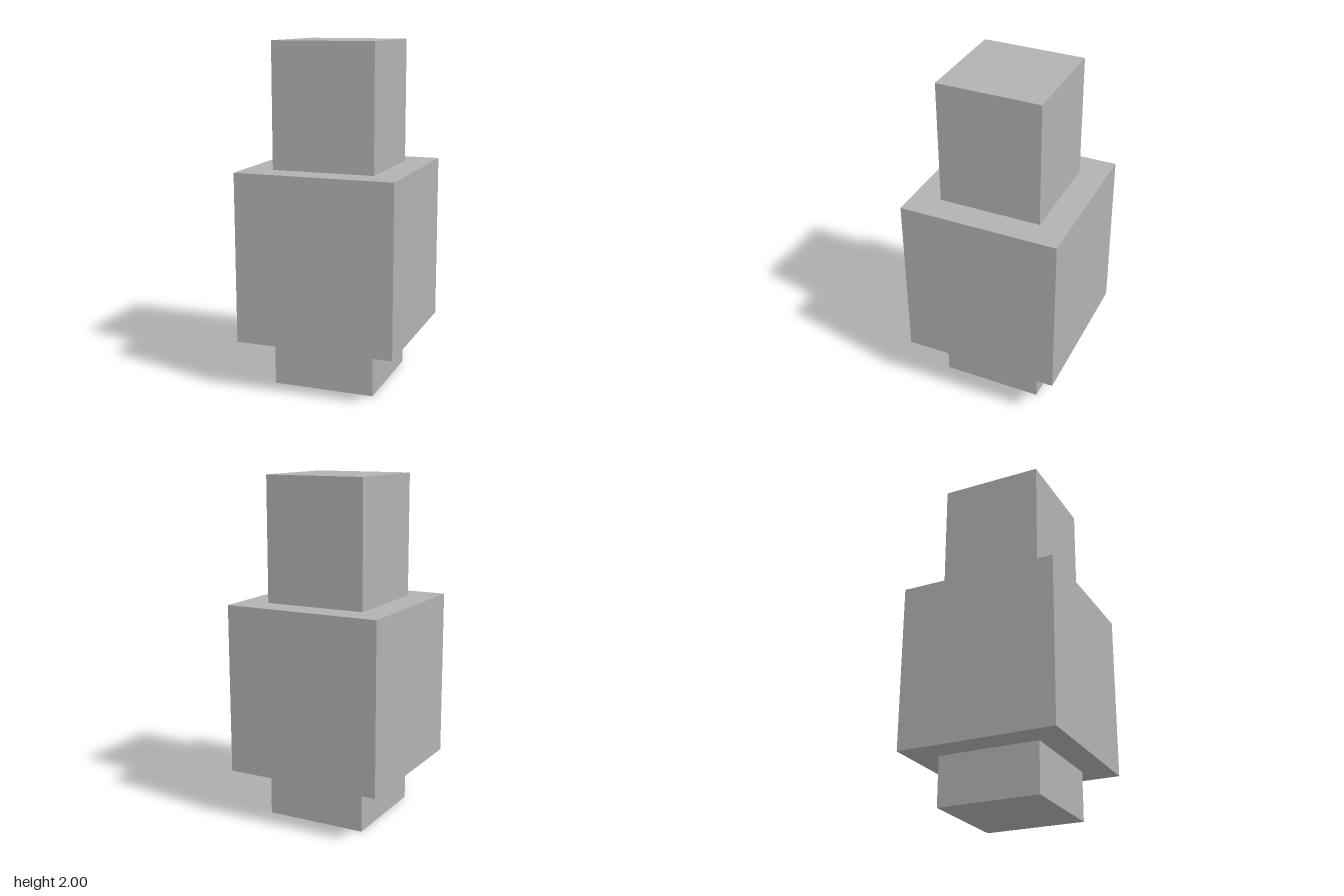
import * as THREE from 'three';

export function createModel() {
  const model = new THREE.Group();
  model.name = 'steppedBlockColumn';

  const grey = new THREE.MeshStandardMaterial({ color: 0xb2b2b2 });
  grey.name = 'grey';

  // Square block of a given width between two heights
  function addBlock(name, width, bottom, top) {
    const mesh = new THREE.Mesh(new THREE.BoxGeometry(width, top - bottom, width), grey);
    mesh.name = name;
    mesh.position.y = (bottom + top) / 2;
    model.add(mesh);
  }

  addBlock('lowerPost', 0.602, 0, 0.29);
  addBlock('mainBlock', 0.932, 0.29, 1.277);
  addBlock('upperPost', 0.602, 1.277, 2);

  return model;
}
